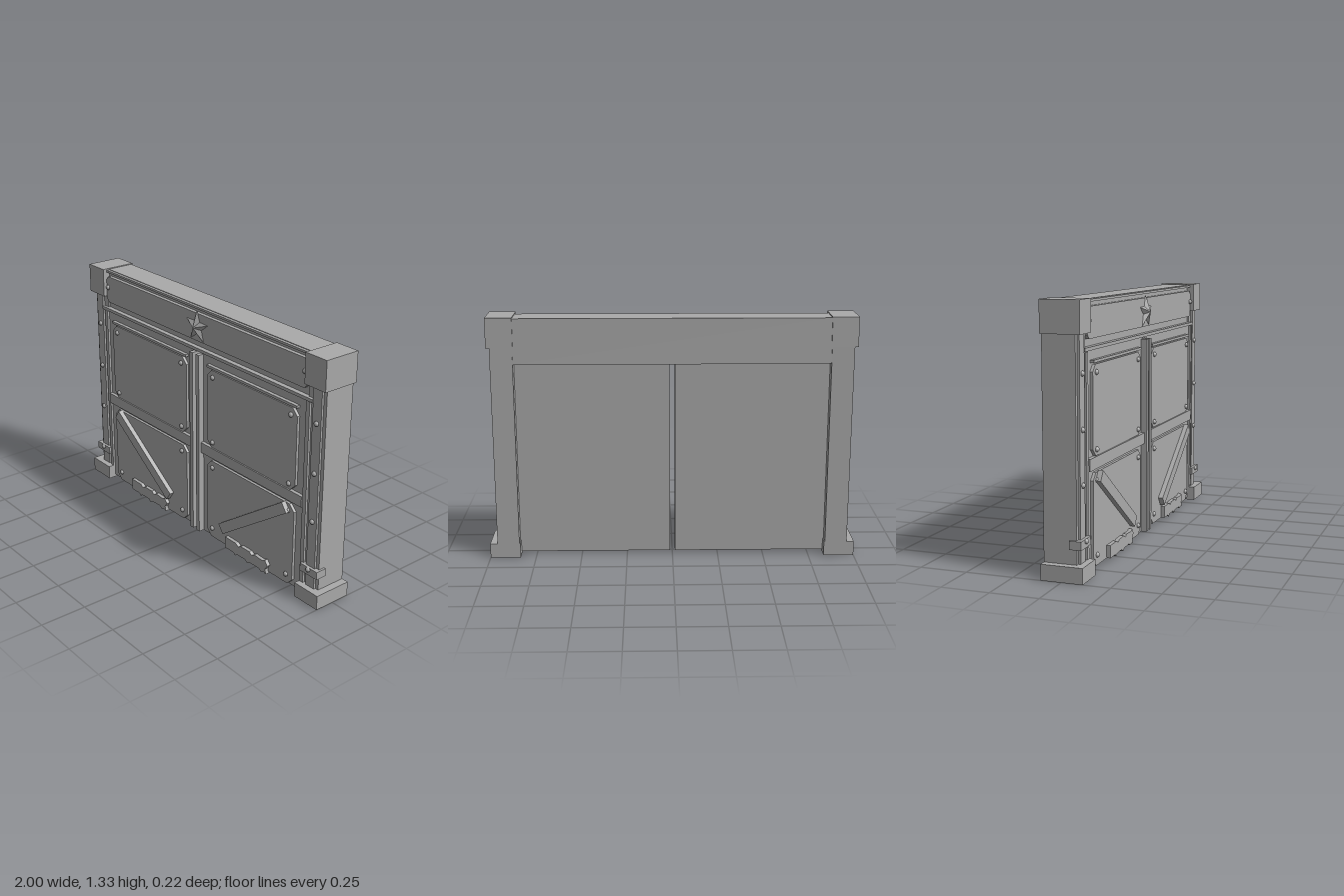
import * as THREE from 'three';

const steel = new THREE.MeshStandardMaterial({ color: 0xaaaaaa });
steel.name = 'grey steel';

export function createModel() {
  const root = new THREE.Group();
  root.name = 'gate';

  const add = (name, geometry, parent = root) => {
    const mesh = new THREE.Mesh(geometry, steel);
    mesh.name = name;
    parent.add(mesh);
    return mesh;
  };

  // Box given by its limits on each axis
  const box = (name, x0, x1, y0, y1, z0, z1, parent) => {
    const mesh = add(name, new THREE.BoxGeometry(Math.abs(x1 - x0), y1 - y0, z1 - z0), parent);
    mesh.position.set((x0 + x1) / 2, (y0 + y1) / 2, (z0 + z1) / 2);
    return mesh;
  };

  // Flat outline pushed forward from z0 to z1
  const plate = (name, points, z0, z1, parent) => {
    const shape = new THREE.Shape(points.map(([x, y]) => new THREE.Vector2(x, y)));
    const geometry = new THREE.ExtrudeGeometry(shape, { depth: z1 - z0, bevelEnabled: false });
    add(name, geometry.translate(0, 0, z0), parent);
  };

  const cutCorners = (x0, x1, y0, y1, c) => [
    [x0 + c, y0], [x1 - c, y0], [x1, y0 + c], [x1, y1 - c],
    [x1 - c, y1], [x0 + c, y1], [x0, y1 - c], [x0, y0 + c],
  ];

  const boltGeometry = new THREE.SphereGeometry(0.014, 10, 6, 0, Math.PI * 2, 0, Math.PI / 2)
    .rotateX(Math.PI / 2);
  const bolt = (x, y, z, parent) => add('bolt', boltGeometry, parent).position.set(x, y, z);

  for (const s of [-1, 1]) {
    // Post with base, cap, riveted strip and clamp
    const post = new THREE.Group();
    post.name = s < 0 ? 'rightPost' : 'leftPost';
    root.add(post);
    box('postShaft', s * 0.84, s * 0.96, 0.08, 1.17, -0.105, 0.065, post);
    box('postBase', s * 0.835, s, 0, 0.08, -0.105, 0.11, post);
    box('postCap', s * 0.837, s * 0.978, 1.17, 1.33, -0.107, 0.095, post);
    box('rivetStrip', s * 0.88, s * 0.94, 0.08, 1.17, 0.065, 0.077, post);
    box('jambStrip', s * 0.835, s * 0.86, 0.08, 1.08, 0.03, 0.078, post);
    box('postClamp', s * 0.85, s * 0.972, 0.155, 0.198, 0.03, 0.092, post);
    for (const y of [0.455, 0.72, 0.985]) bolt(s * 0.91, y, 0.077, post);
    bolt(s * 0.91, 0.187, 0.092, post);
    bolt(s * 0.82, 1.225, 0.076);

    // Door leaf with stile, rail and two framed panels
    const door = new THREE.Group();
    door.name = s < 0 ? 'rightDoor' : 'leftDoor';
    root.add(door);
    box('doorSlab', s * 0.014, s * 0.84, 0.015, 1.085, -0.05, 0.065, door);
    box('centreStile', s * 0.014, s * 0.04, 0.015, 1.072, 0.065, 0.098, door);
    box('middleRail', s * 0.04, s * 0.835, 0.505, 0.565, 0.065, 0.085, door);
    box('dripLedge', s * 0.09, s * 0.78, 1.02, 1.034, 0.065, 0.085, door);
    const x0 = Math.min(s * 0.09, s * 0.782), x1 = Math.max(s * 0.09, s * 0.782);
    plate('upperPanel', cutCorners(x0, x1, 0.567, 1.012, 0.035), 0.065, 0.08, door);
    plate('lowerPanel', cutCorners(x0, x1, 0.02, 0.486, 0.035), 0.065, 0.08, door);
    for (const x of [0.135, 0.737])
      for (const y of [0.073, 0.447, 0.598, 0.973]) bolt(s * x, y, 0.08, door);

    // Diagonal brace
    const brace = add('brace', new THREE.BoxGeometry(0.605, 0.06, 0.027), door);
    brace.position.set(s * 0.485, 0.295, 0.0925);
    brace.rotation.z = s * 0.607;

    // Torn patch along the lower edge, the same way round on both doors
    const px = s < 0 ? -0.605 : 0.27;
    plate('tornPatch', [
      [0, 0.02], [0.07, 0.02], [0.085, 0.008], [0.1, 0.02], [0.165, 0.022], [0.185, 0.008],
      [0.205, 0.02], [0.275, 0.022], [0.295, 0.01], [0.315, 0.018], [0.335, 0.012],
      [0.328, 0.04], [0.345, 0.065], [0.325, 0.092], [0.305, 0.082], [0.24, 0.085],
      [0.22, 0.072], [0.2, 0.086], [0.13, 0.085], [0.11, 0.073], [0.09, 0.086], [0, 0.086],
    ].map(([x, y]) => [x + px, y]), 0.06, 0.1, door);
  }

  // Lintel with front plate and ledges
  box('lintel', -0.84, 0.84, 1.08, 1.325, -0.1, 0.055);
  plate('lintelPlate', cutCorners(-0.835, 0.835, 1.137, 1.29, 0.02), 0.055, 0.076);
  box('lintelTopLedge', -0.84, 0.84, 1.31, 1.322, 0.05, 0.072);
  box('lintelLowerLedge', -0.88, 0.88, 1.083, 1.1, 0.05, 0.082);

  // Five-pointed faceted star
  const ring = [];
  for (let i = 0; i < 10; i++) {
    const a = Math.PI / 2 + i * Math.PI / 5, r = i % 2 ? 0.037 : 0.092;
    ring.push([r * Math.cos(a), r * Math.sin(a), 0]);
  }
  const corners = [];
  ring.forEach((p, i) => {
    const q = ring[(i + 1) % 10];
    corners.push(...p, ...q, 0, 0, 0.03);
    corners.push(...q, ...p, 0, 0, -0.02);
  });
  const starGeometry = new THREE.BufferGeometry();
  starGeometry.setAttribute('position', new THREE.Float32BufferAttribute(corners, 3));
  starGeometry.computeVertexNormals();
  add('star', starGeometry).position.set(0, 1.215, 0.076);

  return root;
}
